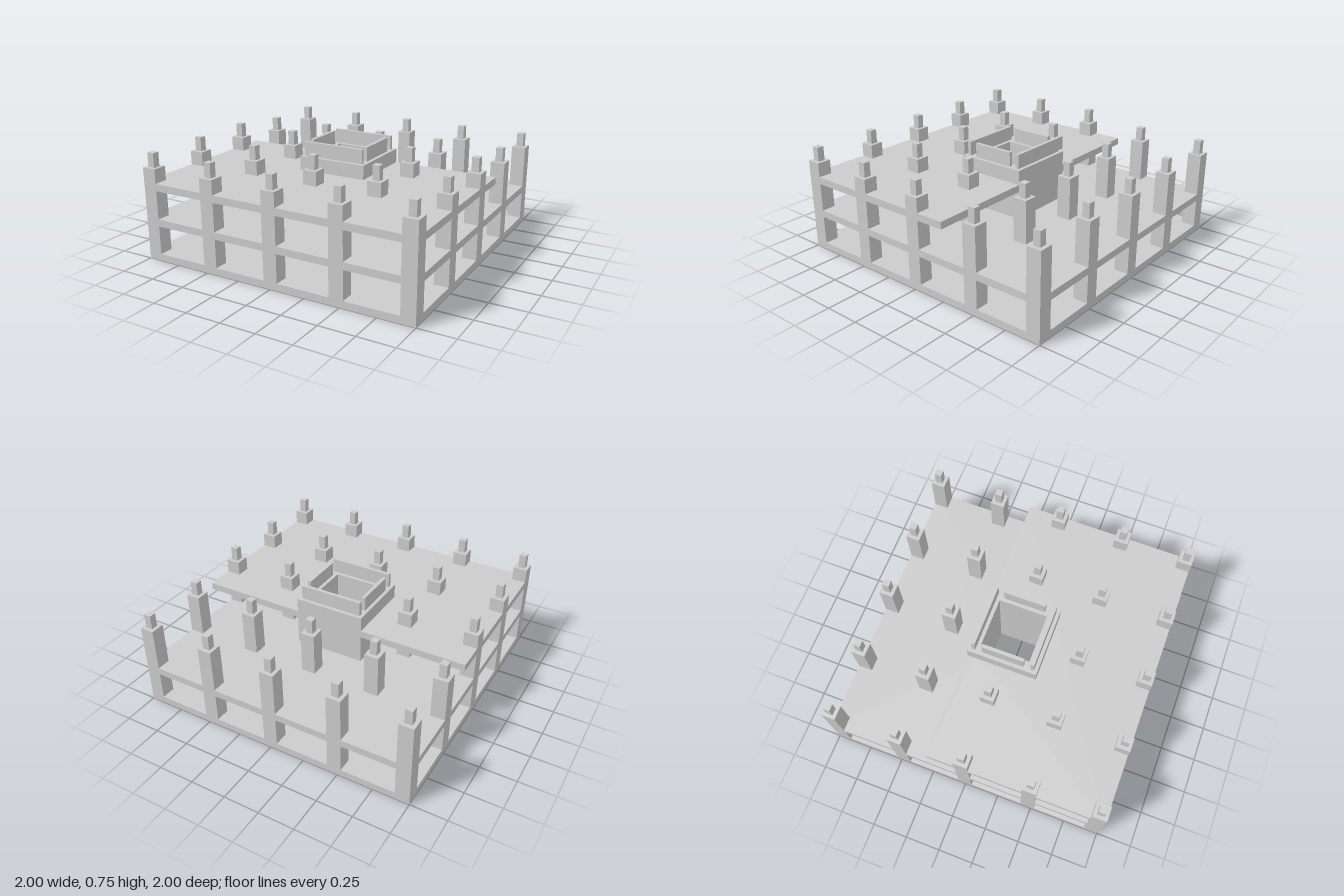
import * as THREE from 'three';

export function createModel() {
  const model = new THREE.Group();
  model.name = 'buildingFrame';
  const material = new THREE.MeshStandardMaterial({ color: 0xcccccc, flatShading: true });

  function add(name, geometry, parent = model) {
    const mesh = new THREE.Mesh(geometry, material);
    mesh.name = name;
    parent.add(mesh);
    return mesh;
  }

  // Box standing on y0, centred on x and z
  function block(name, w, d, y0, y1, x, z, parent) {
    add(name, new THREE.BoxGeometry(w, y1 - y0, d), parent).position.set(x, (y0 + y1) / 2, z);
  }

  // Horizontal plate from zBack to zFront with a square opening in the middle
  function plate(name, halfWidth, zBack, zFront, hole, y0, y1) {
    const rect = (Type, x, za, zb) => new Type([
      new THREE.Vector2(-x, -zb), new THREE.Vector2(x, -zb),
      new THREE.Vector2(x, -za), new THREE.Vector2(-x, -za),
    ]);
    const shape = rect(THREE.Shape, halfWidth, zBack, zFront);
    shape.holes.push(rect(THREE.Path, hole, -hole, hole));
    const geometry = new THREE.ExtrudeGeometry(shape, { depth: y1 - y0, bevelEnabled: false });
    geometry.rotateX(-Math.PI / 2).translate(0, y0, 0);
    add(name, geometry);
  }

  // Floors; the upper two end inside the shaft walls, the top one stops short at the back
  plate('groundSlab', 1, -1, 1, 0.175, 0, 0.05);
  plate('middleSlab', 1, -1, 1, 0.2, 0.25, 0.3);
  plate('topSlab', 1, -0.25, 1, 0.2, 0.5, 0.55);

  // Central shaft, open from top to bottom
  plate('shaftWalls', 0.25, -0.25, 0.25, 0.175, 0.05, 0.65);

  // Thin starter walls on the shaft rim
  for (const s of [-1, 1]) {
    block('shaftStarterWall', 0.45, 0.025, 0.65, 0.75, 0, s * 0.2125);
    block('shaftStarterWall', 0.025, 0.3, 0.65, 0.75, s * 0.2125, 0);
  }

  // Column grid with slim starter stubs; the two back rows are lower
  const grid = [-0.95, -0.475, 0, 0.475, 0.95];
  for (const z of grid) {
    const top = z < -0.2 ? 0.6 : 0.65;
    for (const x of grid) {
      if (x === 0 && z === 0) continue; // the shaft stands here
      const column = new THREE.Group();
      column.name = 'column';
      block('columnShaft', 0.1, 0.1, 0, top, x, z, column);
      block('columnStub', 0.05, 0.05, top, top + 0.1, x, z, column);
      model.add(column);
    }
  }
  return model;
}
